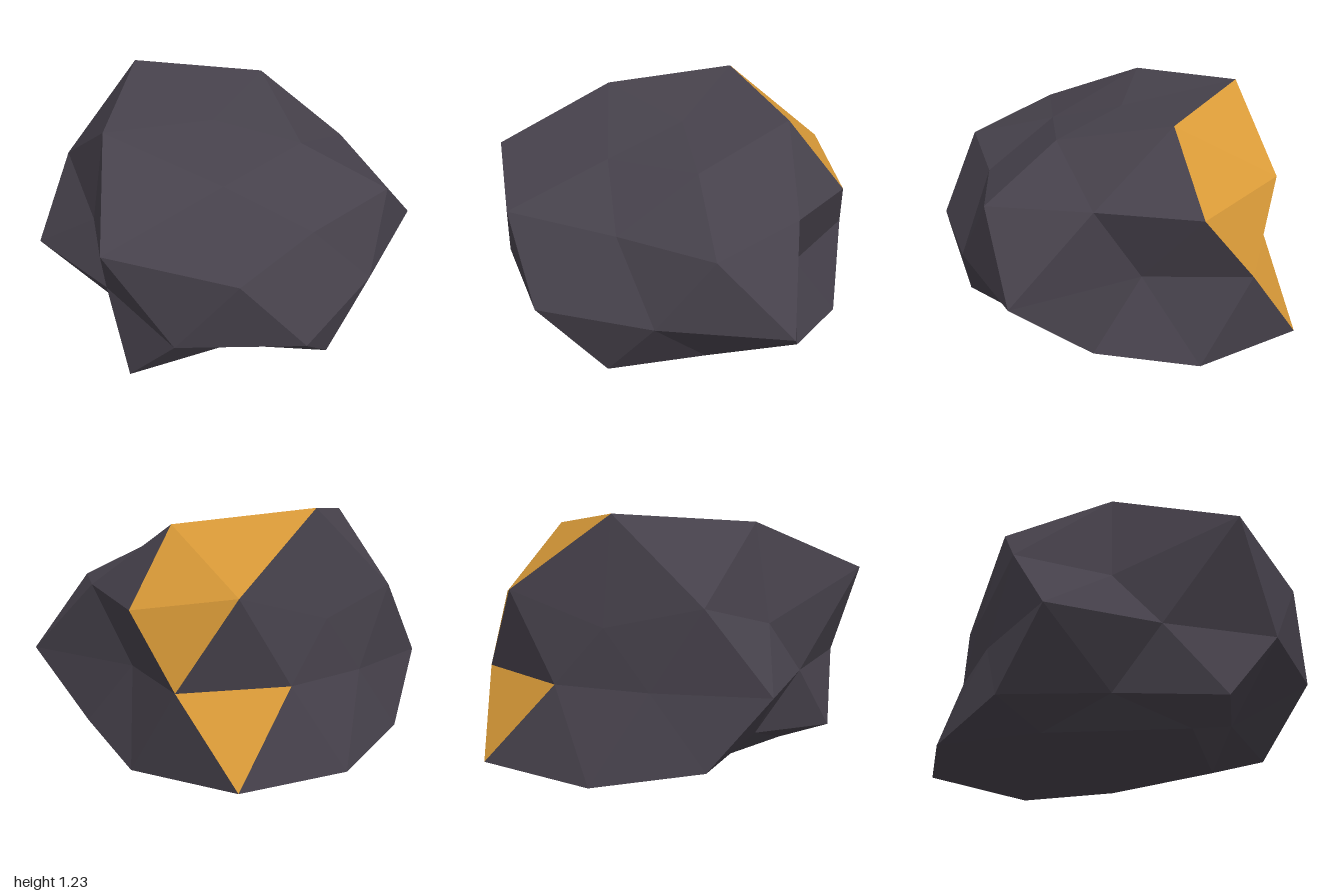
import * as THREE from 'three';

// Low-poly boulder: a subdivided icosahedron, squashed, pushed in and out
// along its rays, and cut flat at the ground.
const CENTRE = new THREE.Vector3(-0.08, 0.43, -0.027);

function point(radius, degrees, slope) {
  const a = THREE.MathUtils.degToRad(degrees);
  return new THREE.Vector3(
    CENTRE.x + radius * Math.cos(a),
    Math.max(0, CENTRE.y + radius * slope),
    CENTRE.z + radius * Math.sin(a));
}

const ring = (radii, start, step, slope) =>
  radii.map((r, i) => point(r, start + i * step, slope(i)));

function facets(name, triangles, material) {
  const pts = [];
  const normal = new THREE.Vector3();
  const middle = new THREE.Vector3();
  for (const [a, b, c] of triangles) {
    // turn every facet outwards
    new THREE.Triangle(a, b, c).getNormal(normal);
    middle.copy(a).add(b).add(c).divideScalar(3).sub(CENTRE);
    pts.push(...(normal.dot(middle) > 0 ? [a, b, c] : [a, c, b]));
  }
  const geometry = new THREE.BufferGeometry().setFromPoints(pts);
  geometry.computeVertexNormals(); // unshared corners give flat facets
  const mesh = new THREE.Mesh(geometry, material);
  mesh.name = name;
  return mesh;
}

export function createModel() {
  const stone = new THREE.MeshStandardMaterial({ color: 0x46414b });
  stone.name = 'dark stone';
  const ore = new THREE.MeshStandardMaterial({ color: 0xd99a38 });
  ore.name = 'golden ore';

  // Rings of corners from top to bottom, as horizontal radii
  const top = new THREE.Vector3(CENTRE.x, 1.11, CENTRE.z);
  const crown = ring([0.457, 0.43, 0.58, 0.618, 0.554], 36, 72, () => 1.294);
  const upper = ring([0.79, 0.915, 0.712, 0.977, 1.008, 0.67, 0.8, 0.71, 0.868, 0.86],
    0, 36, (i) => (i % 2 ? 0.4 : 0.495));
  const waist = ring([1.115, 0.915, 1.027, 0.953, 0.74, 0.95, 0.74, 0.785, 0.92, 0.66],
    18, 36, () => 0);
  const lower = ring([0.83, 0.675, 0.85, 0.616, 0.875, 0.6, 0.86, 0.876, 1.024, 0.87],
    0, 36, (i) => (i % 2 ? -0.495 : -0.4));
  const foot = ring([0.55, 0.55, 0.62, 0.55, 0.55], 0, 72, () => -1.294);
  const base = new THREE.Vector3(CENTRE.x, 0, CENTRE.z);

  const all = [];
  // Caps: a fan at the pole, then facets out to the ring of ten
  function cap(pole, inner, outer, shift) {
    for (let k = 0; k < 5; k++) {
      const j = 2 * k + shift;
      const p = inner[k], q = inner[(k + 1) % 5];
      const before = outer[(j + 9) % 10], on = outer[j], after = outer[(j + 1) % 10];
      all.push([pole, p, q], [p, before, on], [p, on, after], [p, after, q]);
    }
  }
  cap(top, crown, upper, 1);
  cap(base, foot, lower, 0);

  // Sides: zigzag bands above and below the waist
  for (const side of [upper, lower]) {
    for (let j = 0; j < 10; j++) {
      const n = (j + 1) % 10;
      all.push([side[j], waist[j], side[n]], [waist[j], waist[n], side[n]]);
    }
  }

  // Ore facets on the back
  const oreFaces = [
    [crown[3], crown[4], upper[8]],
    [crown[4], upper[8], upper[9]],
    [upper[8], upper[9], waist[8]],
    [waist[7], waist[8], lower[8]],
  ];
  const isOre = (t) => oreFaces.some((f) => f.every((v) => t.includes(v)));

  const model = new THREE.Group();
  model.name = 'boulder';
  model.add(
    facets('stoneFacets', all.filter((t) => !isOre(t)), stone),
    facets('oreFacets', all.filter(isOre), ore));
  return model;
}
